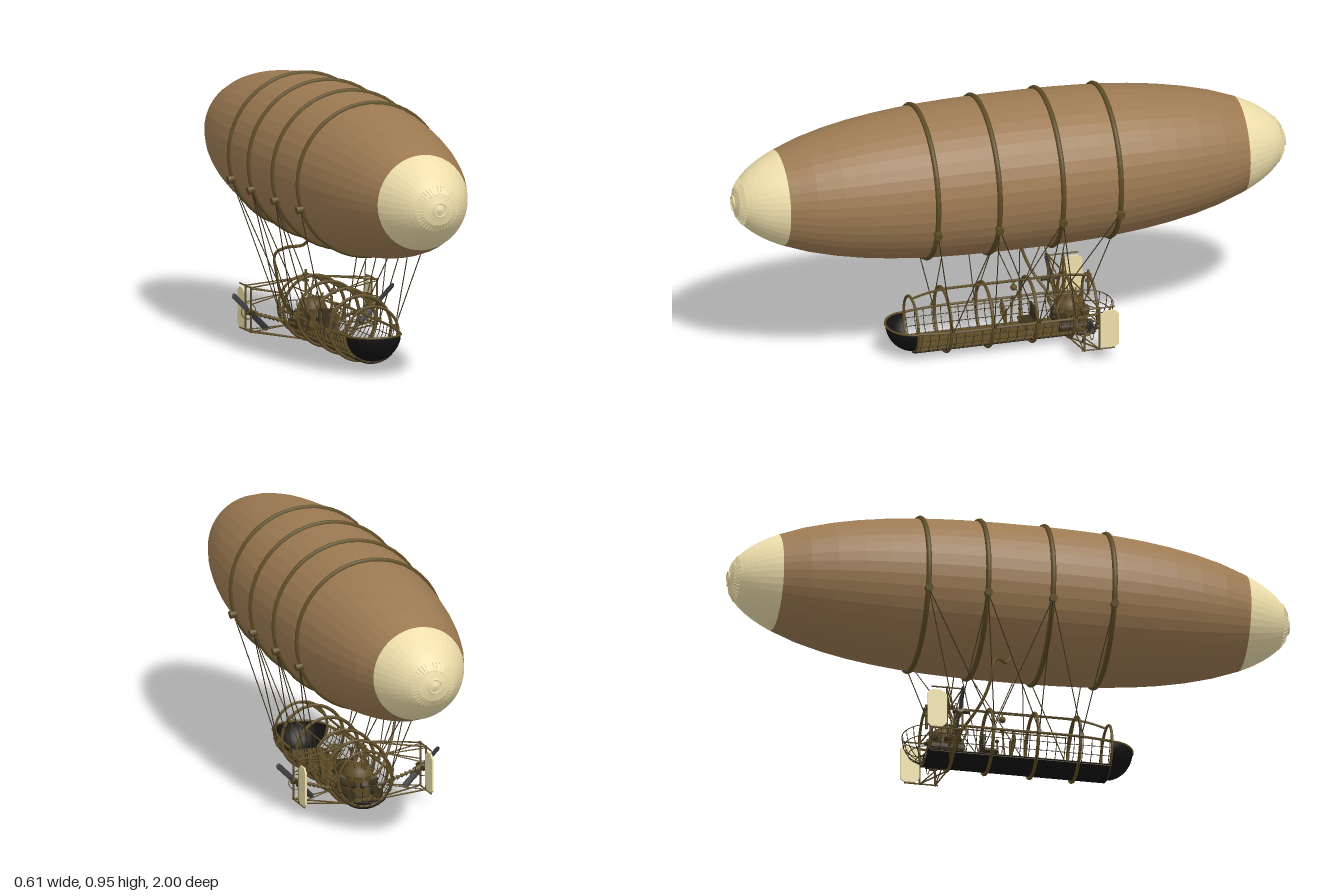
import * as THREE from 'three';

const V = (x, y, z) => new THREE.Vector3(x, y, z);
const mat = (color, extra = {}) => {
  const m = new THREE.MeshStandardMaterial(extra);
  m.color.set(color);
  return m;
};

export function createModel() {
  const model = new THREE.Group();
  const canvas = mat(0x9c7a52, { flatShading: true });
  const cream = mat(0xeedfab, { flatShading: true });
  const bronze = mat(0x5e4c26);
  const dark = mat(0x3b311b);
  const black = mat(0x121212, { side: THREE.DoubleSide });
  const blade = mat(0x3a3a3c);

  const group = (name, parent = model) => {
    const g = new THREE.Group();
    g.name = name;
    parent.add(g);
    return g;
  };
  const add = (parent, name, geo, material, x = 0, y = 0, z = 0) => {
    const m = new THREE.Mesh(geo, material);
    m.name = name;
    m.position.set(x, y, z);
    parent.add(m);
    return m;
  };
  // Straight rod between two points
  const bar = (parent, name, a, b, r, material = bronze, r2 = r, sides = 6) => {
    const m = add(parent, name, new THREE.CylinderGeometry(r2, r, a.distanceTo(b), sides), material);
    m.position.copy(a).lerp(b, 0.5);
    m.quaternion.setFromUnitVectors(V(0, 1, 0), b.clone().sub(a).normalize());
    return m;
  };
  const tube = (parent, name, pts, r, material = bronze, n = 24) =>
    add(parent, name, new THREE.TubeGeometry(new THREE.CatmullRomCurve3(pts), n, r, 6), material);

  // Envelope: canvas body and two cream end caps
  const envY = 0.66;
  const radius = z => 0.276 * Math.sqrt(Math.max(0, 1 - Math.abs(z) ** 2.5));
  const skin = (name, z0, z1, n, material) => {
    const pts = [];
    for (let i = 0; i <= n; i++) {
      const z = z0 + (z1 - z0) * i / n;
      pts.push(new THREE.Vector2(radius(z), z));
    }
    add(envelope, name, new THREE.LatheGeometry(pts, 40).rotateX(Math.PI / 2), material, 0, envY, 0);
  };
  const envelope = group('envelope');
  skin('envelopeBody', -0.83, 0.83, 18, canvas);
  skin('noseCap', 0.83, 1, 10, cream);
  skin('tailCap', -1, -0.83, 10, cream);
  for (const e of [1, -1]) {
    // Radial pleats gathered round each tip
    for (let i = 0; i < 36; i++) {
      const a = i / 36 * Math.PI * 2;
      const p = z => V(Math.cos(a) * radius(z), envY + Math.sin(a) * radius(z), e * z);
      bar(envelope, 'tipPleat', p(0.965), p(0.985), 0.0025, cream, 0.0015, 4);
    }
    add(envelope, 'tipRing', new THREE.TorusGeometry(0.024, 0.003, 6, 24), cream, 0, envY, e * 0.995);
  }

  // Hoops with rope anchors at their sides
  const hoopZ = [0.325, 0.105, -0.125, -0.335];
  const anchorAngle = Math.asin(-0.33);
  const anchor = (s, z) => V(s * Math.cos(anchorAngle) * (radius(z) + 0.008),
    envY + Math.sin(anchorAngle) * (radius(z) + 0.008), z);
  for (const z of hoopZ) {
    add(envelope, 'envelopeHoop', new THREE.TorusGeometry(radius(z) + 0.001, 0.0095, 8, 48), bronze, 0, envY, z);
    for (const s of [1, -1]) {
      const p = anchor(s, z);
      const out = V(s, -0.2, 0).multiplyScalar(0.014);
      bar(envelope, 'ropeAnchor', p.clone().sub(out), p.clone().add(out), 0.014, bronze, 0.014, 10);
    }
  }

  // Gondola hull
  const gondola = group('gondola');
  const cy = 0.12;
  const ribZ = [0.235, 0.085, -0.075, -0.21];
  add(gondola, 'bow', new THREE.SphereGeometry(0.1, 24, 10, 0, Math.PI, Math.PI / 2, Math.PI / 2)
    .scale(1, 0.95, 0.9), black, 0, cy - 0.003, 0.35);
  add(gondola, 'keelShell', new THREE.CylinderGeometry(0.108, 0.108, 0.65, 16, 1, true, -0.75, 1.5)
    .rotateX(Math.PI / 2), black, 0, cy, 0.025);
  for (let i = -3; i <= 3; i++)
    add(gondola, 'deckPlank', new THREE.BoxGeometry(0.018, 0.005, 0.64), bronze, i * 0.0205, 0.039, 0.03);

  // Round ribs of the cabin
  for (const z of ribZ)
    add(gondola, 'cabinRib', new THREE.TorusGeometry(0.114, 0.006, 8, 40), bronze, 0, cy, z);
  add(gondola, 'bowRib', new THREE.TorusGeometry(0.097, 0.005, 8, 40), bronze, 0, cy - 0.003, 0.35);
  add(gondola, 'sternRib', new THREE.TorusGeometry(0.1, 0.005, 8, 40), bronze, 0, cy, -0.295);
  tube(gondola, 'bowRim', Array.from({ length: 13 }, (_, i) =>
    V(Math.cos(i / 12 * Math.PI) * 0.1, cy - 0.003, 0.35 + Math.sin(i / 12 * Math.PI) * 0.09)), 0.004);

  // Roof, side rails and curved railings
  tube(gondola, 'roofRail', [V(0, 0.211, 0.35), V(0, 0.227, 0.29), V(0, 0.234, 0.235),
    V(0, 0.234, 0), V(0, 0.234, -0.21), V(0, 0.222, -0.295)], 0.004);
  for (const s of [1, -1]) {
    tube(gondola, 'sideRail', [V(s * 0.098, 0.118, 0.35), V(s * 0.115, 0.118, 0.235),
      V(s * 0.115, 0.118, 0), V(s * 0.115, 0.118, -0.21), V(s * 0.1, 0.118, -0.295)], 0.005);
    bar(gondola, 'upperRail', V(s * 0.08, 0.2, 0.235), V(s * 0.08, 0.2, -0.21), 0.0025);
    const wall = (a, z) => V(s * Math.sin(a) * 0.108, cy - Math.cos(a) * 0.108, z);
    for (let i = 0; i <= 20; i++) {
      const z = 0.34 - i * 0.0315;
      tube(gondola, 'railingPost', [wall(0.75, z), wall(1.15, z), wall(1.55, z)], 0.0013, dark, 5);
    }
    for (const a of [0.75, 1.02, 1.3])
      bar(gondola, 'railingWire', wall(a, 0.35), wall(a, -0.295), 0.0013, dark, 0.0013, 5);
  }

  // Open wire cage at the stern
  for (let k = 0; k < 4; k++) {
    const t = k * 0.38;
    const r = 0.1 * Math.cos(t);
    tube(gondola, 'sternWire', Array.from({ length: 9 }, (_, i) => {
      const a = i / 8 * Math.PI;
      return V(Math.cos(a) * r, cy - 0.1 * Math.sin(t), -0.295 - Math.sin(a) * r * 0.8);
    }), 0.0016, dark, 16);
  }
  for (const a of [-0.8, -0.4, 0, 0.4, 0.8])
    tube(gondola, 'sternWire', [0, 0.4, 0.8, 1.2, 1.57].map(t =>
      V(Math.sin(a) * Math.cos(t) * 0.1, cy - 0.1 * Math.sin(t), -0.295 - Math.cos(a) * Math.cos(t) * 0.08)), 0.0014, dark, 10);

  // Suspension ropes from anchors to cabin ribs
  const rigging = group('rigging');
  const links = [[0, 0], [1, 0], [1, 1], [1, 2], [2, 1], [2, 2], [2, 3], [3, 2], [3, 3]];
  for (const s of [1, -1]) {
    for (const [h, r] of links)
      bar(rigging, 'rope', anchor(s, hoopZ[h]), V(s * 0.13, 0.118, ribZ[r]), 0.0019, dark, 0.0019, 5);
    for (const z of ribZ)
      add(rigging, 'ropeCleat', new THREE.BoxGeometry(0.022, 0.014, 0.014), bronze, s * 0.123, 0.118, z);
  }

  // Gas pipe from envelope to boiler
  tube(gondola, 'gasPipe', [V(-0.095, 0.405, -0.01), V(-0.11, 0.378, -0.03), V(-0.165, 0.365, -0.065),
    V(-0.193, 0.34, -0.09), V(-0.183, 0.27, -0.1), V(-0.155, 0.19, -0.13), V(-0.09, 0.11, -0.19),
    V(-0.03, 0.1, -0.23)], 0.0055, bronze, 40);

  // Boiler with valves and cylinders
  const engine = group('engine');
  const profile = [[0, 0], [0.04, 0], [0.044, 0.01], [0.044, 0.07], [0.05, 0.075], [0.05, 0.083],
    [0.042, 0.1], [0.024, 0.114], [0, 0.118]].map(p => new THREE.Vector2(...p));
  add(engine, 'boiler', new THREE.LatheGeometry(profile, 20), bronze, 0, 0.04, -0.225);
  for (let i = 0; i < 8; i++) {
    const a = i / 8 * Math.PI * 2;
    const p = (r, y) => V(Math.cos(a) * r, y, -0.225 + Math.sin(a) * r);
    bar(engine, 'engineCylinder', p(0.035, 0.085), p(0.068, 0.1), 0.012, dark, 0.012, 8);
    bar(engine, 'valveStem', p(0.025, 0.14), p(0.04, 0.168), 0.0025);
    bar(engine, 'pushRod', p(0.062, 0.1), p(0.035, 0.14), 0.0025);
  }
  bar(engine, 'chimney', V(0, 0.15, -0.29), V(0, 0.242, -0.29), 0.005);
  for (const y of [0.2, 0.222])
    bar(engine, 'chimneyRing', V(0, y, -0.29), V(0, y + 0.006, -0.29), 0.012, bronze, 0.012, 10);
  for (const s of [1, -1]) {
    bar(engine, 'steamTank', V(s * 0.05, 0.06, -0.29), V(s * 0.05, 0.06, -0.17), 0.018, dark, 0.018, 12);
    tube(engine, 'steamPipe', [V(s * 0.05, 0.07, -0.18), V(s * 0.06, 0.13, -0.16),
      V(s * 0.03, 0.16, -0.19), V(0, 0.15, -0.225)], 0.004);
    bar(engine, 'engineMount', V(s * 0.06, 0.04, -0.16), V(0, 0.234, -0.21), 0.003);
  }

  // Pilot station: column, wheel, levers and seat
  const helm = group('helm');
  bar(helm, 'column', V(0, 0.04, 0.01), V(0, 0.13, 0.01), 0.007);
  add(helm, 'wheel', new THREE.TorusGeometry(0.026, 0.003, 6, 24), bronze, 0, 0.13, 0.02);
  for (let i = 0; i < 4; i++) {
    const a = i * Math.PI / 4;
    const d = V(Math.cos(a) * 0.036, Math.sin(a) * 0.036, 0);
    bar(helm, 'wheelSpoke', V(0, 0.13, 0.02).add(d), V(0, 0.13, 0.02).sub(d), 0.0022);
  }
  for (const x of [-0.045, 0.045]) {
    bar(helm, 'lever', V(x, 0.04, -0.02), V(x, 0.145, -0.03), 0.003);
    add(helm, 'leverKnob', new THREE.SphereGeometry(0.007, 10, 8), dark, x, 0.147, -0.03);
  }
  add(helm, 'seat', new THREE.BoxGeometry(0.06, 0.008, 0.05), dark, 0, 0.08, -0.065);
  add(helm, 'seatBack', new THREE.BoxGeometry(0.06, 0.05, 0.007), dark, 0, 0.11, -0.09);
  bar(helm, 'seatPost', V(0, 0.04, -0.065), V(0, 0.08, -0.065), 0.007);
  bar(helm, 'lampStem', V(0, 0.234, -0.02), V(0, 0.215, -0.02), 0.003);
  add(helm, 'lamp', new THREE.SphereGeometry(0.012, 12, 8), bronze, 0, 0.21, -0.02);

  // Rudder fin outline with cut corners
  const fin = new THREE.Shape([[-0.035, -0.055], [-0.02, -0.07], [0.02, -0.07], [0.032, -0.06],
    [0.032, 0.055], [0.018, 0.07], [-0.015, 0.07], [-0.035, 0.055]].map(p => new THREE.Vector2(...p)));
  const finGeo = new THREE.ExtrudeGeometry(fin, { depth: 0.006, bevelEnabled: false })
    .translate(0, 0, -0.003).rotateY(Math.PI / 2);

  // Outriggers with propellers and rudders on both sides
  for (const s of [1, -1]) {
    const rig = group(s > 0 ? 'leftOutrigger' : 'rightOutrigger');
    const x = s * 0.235;
    add(rig, 'rudder', finGeo, cream, x, 0.122, -0.302);
    for (const z of [-0.21, -0.265]) {
      bar(rig, 'outriggerPost', V(x, 0.045, z), V(x, 0.208, z), 0.0035);
      bar(rig, 'topStrut', V(0, 0.234, -0.21), V(x, 0.204, z), 0.0028);
      bar(rig, 'bottomStrut', V(s * 0.03, 0.01, -0.21), V(x, 0.048, z), 0.0028);
      bar(rig, 'braceStrut', V(s * 0.1, 0.175, -0.21), V(x, 0.2, z), 0.0022);
      bar(rig, 'braceStrut', V(s * 0.1, 0.18, -0.21), V(x, 0.145, z), 0.0022);
      bar(rig, 'braceStrut', V(s * 0.1, 0.065, -0.21), V(x, 0.048, z), 0.0022);
    }
    for (const y of [0.048, 0.204])
      bar(rig, 'rudderArm', V(x, y, -0.2), V(x, y, -0.32), 0.003);
    // Drive shaft with collars
    const a = V(s * 0.06, 0.062, -0.22), b = V(x, 0.117, -0.22);
    bar(rig, 'driveShaft', a, b, 0.005, bronze, 0.004, 8);
    for (let i = 0; i < 7; i++) {
      const t = 0.3 + i * 0.09;
      bar(rig, 'shaftCollar', a.clone().lerp(b, t), a.clone().lerp(b, t + 0.045), 0.0085, bronze, 0.006, 8);
    }
    bar(rig, 'gearHousing', a.clone().lerp(b, 0.84), a.clone().lerp(b, 1.06), 0.009, bronze, 0.013, 10);
    bar(rig, 'propellerAxle', V(x, 0.117, -0.245), V(x, 0.117, -0.185), 0.008, dark, 0.008, 10);
    add(rig, 'propellerGuard', new THREE.TorusGeometry(0.027, 0.0013, 5, 28), dark, x, 0.117, -0.235);
    // Two twisted blades
    const prop = group('propeller', rig);
    prop.position.set(x, 0.117, -0.22);
    prop.rotation.z = -s * Math.PI / 4;
    for (const e of [1, -1]) {
      const arm = group('propellerBlade', prop);
      arm.rotation.z = e > 0 ? 0 : Math.PI;
      const g = new THREE.CapsuleGeometry(0.011, 0.06, 4, 12).scale(1, 1, 0.25).rotateY(0.4);
      add(arm, 'blade', g, blade, 0, 0.053, 0);
      bar(arm, 'bladeRoot', V(0, 0, 0), V(0, 0.025, 0), 0.006, blade, 0.005, 8);
    }
  }
  return model;
}
